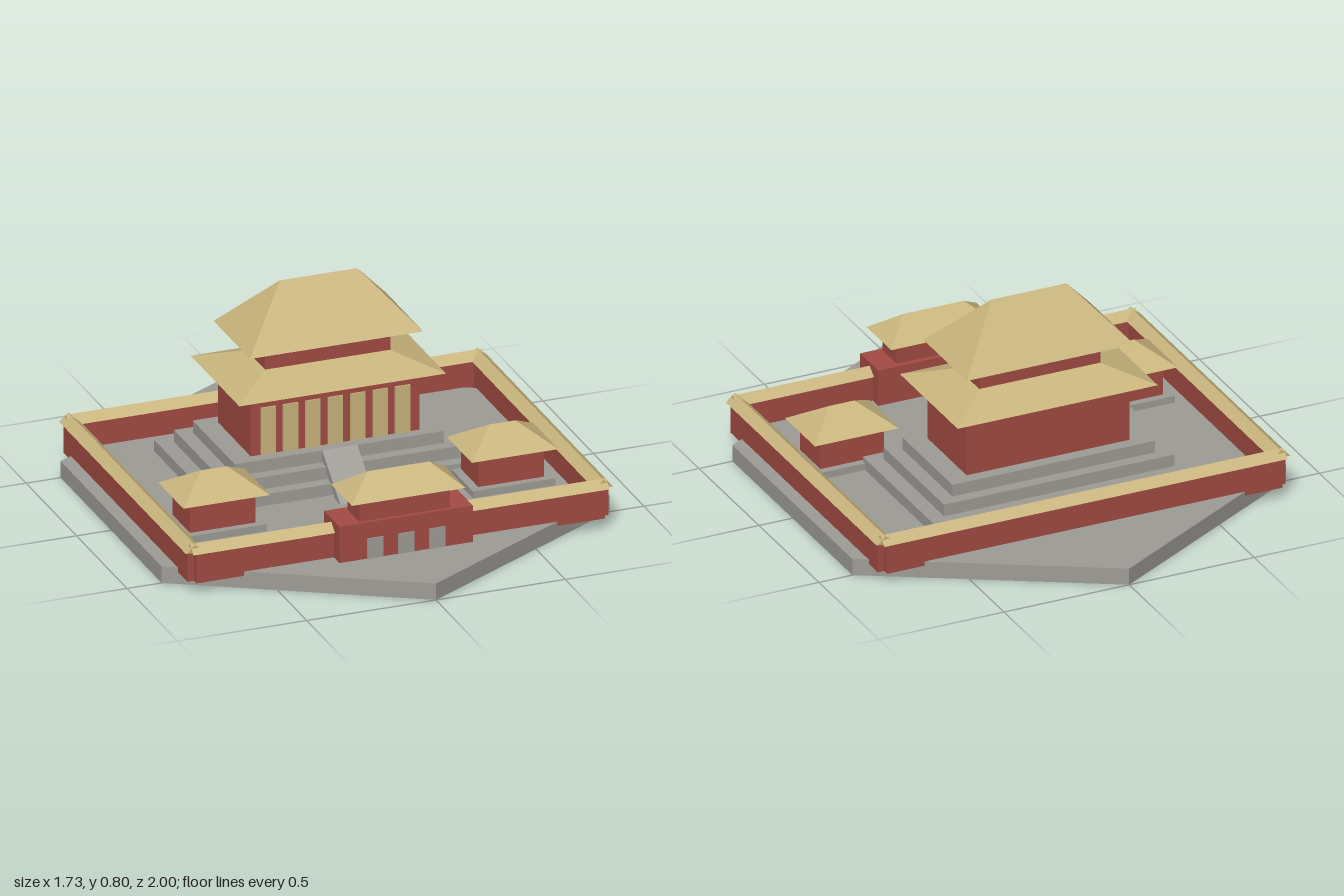
import * as THREE from 'three';

const mat = (name, color) => {
  const m = new THREE.MeshStandardMaterial({ color });
  m.name = name;
  return m;
};

export function createModel() {
  const red = mat('red plaster', 0xa34b43);
  const tan = mat('golden tile', 0xc8b47c);
  const grey = mat('grey stone', 0x9e9c96);
  const root = new THREE.Group();
  root.name = 'palaceCompound';

  const add = (parent, name, geometry, material) => {
    const mesh = new THREE.Mesh(geometry, material);
    mesh.name = name;
    parent.add(mesh);
    return mesh;
  };
  const group = (name) => {
    const g = new THREE.Group();
    g.name = name;
    root.add(g);
    return g;
  };

  // Box given by its extents along each axis
  const block = (parent, name, material, [x0, x1], [y0, y1], [z0, z1]) => {
    const g = new THREE.BoxGeometry(x1 - x0, y1 - y0, z1 - z0);
    g.translate((x0 + x1) / 2, (y0 + y1) / 2, (z0 + z1) / 2);
    return add(parent, name, g, material);
  };

  // Hipped roof: a box whose top rectangle shrinks to topW x topD
  const roof = (parent, name, [x, z], [y0, y1], [w, d], [topW, topD]) => {
    const h = y1 - y0;
    const g = new THREE.BoxGeometry(w, h, d);
    const p = g.attributes.position;
    for (let i = 0; i < p.count; i++) {
      if (p.getY(i) > 0) {
        p.setX(i, Math.sign(p.getX(i)) * topW / 2);
        p.setZ(i, Math.sign(p.getZ(i)) * topD / 2);
      }
    }
    g.computeVertexNormals();
    g.translate(x, y0 + h / 2, z);
    return add(parent, name, g, tan);
  };

  // Hexagonal ground slab, with points at front and back
  const slab = new THREE.CylinderGeometry(1, 1, 0.065, 6).toNonIndexed();
  slab.computeVertexNormals();
  slab.translate(0, 0.0325, 0);
  add(root, 'groundSlab', slab, grey);

  // Perimeter walls with ridged tile caps
  const walls = group('perimeterWalls');
  const wallY = [0.048, 0.168], capY = [0.165, 0.195];
  for (const [name, z] of [['front', 0.625], ['back', -0.605]]) {
    block(walls, name + 'Wall', red, [-0.79, 0.79], wallY, [z - 0.025, z + 0.025]);
    roof(walls, name + 'WallCap', [0, z], capY, [1.61, 0.072], [1.61, 0]);
  }
  for (const [name, s] of [['left', 1], ['right', -1]]) {
    const x = s * 0.79;
    block(walls, name + 'Wall', red, [x - 0.025, x + 0.025], wallY, [-0.605, 0.625]);
    roof(walls, name + 'WallCap', [x, 0.01], capY, [0.072, 1.26], [0, 1.26]);
  }

  // Gatehouse with three doors
  const gate = group('gatehouse');
  block(gate, 'gateBase', red, [-0.258, 0.258], [0.06, 0.208], [0.553, 0.705]);
  for (const x of [-0.12, 0, 0.12]) {
    block(gate, 'gateDoor', grey, [x - 0.031, x + 0.031], [0.06, 0.145], [0.702, 0.709]);
  }
  block(gate, 'gateUpperRoom', red, [-0.175, 0.175], [0.2, 0.3], [0.573, 0.69]);
  roof(gate, 'gateRoof', [0, 0.628], [0.295, 0.373], [0.44, 0.206], [0.24, 0]);

  // Mirrored side halls
  for (const [name, s] of [['leftHall', 1], ['rightHall', -1]]) {
    const hall = group(name), x = s * 0.558, z = 0.231;
    block(hall, 'hallPlatform', grey, [x - 0.16, x + 0.16], [0.06, 0.092], [z - 0.115, z + 0.115]);
    block(hall, 'hallBody', red, [x - 0.127, x + 0.127], [0.09, 0.215], [z - 0.086, z + 0.086]);
    roof(hall, 'hallRoof', [x, z], [0.21, 0.291], [0.335, 0.25], [0.1, 0]);
  }

  // Main hall on three stepped terraces
  const main = group('mainHall'), cz = -0.164;
  [[0.52, 0.3], [0.46, 0.253], [0.405, 0.208]].forEach(([hx, hz], i) => {
    block(main, 'terrace', grey, [-hx, hx], [0.06 + i * 0.045, 0.11 + i * 0.047], [cz - hz, cz + hz]);
  });

  // Sloping stair ramp up to the terraces
  const rise = 0.145, run = 0.185;
  const ramp = add(main, 'stairRamp', new THREE.BoxGeometry(0.136, 0.03, Math.hypot(rise, run)), grey);
  ramp.position.set(0, 0.122, 0.13);
  ramp.rotation.x = Math.atan2(rise, run);

  block(main, 'lowerStorey', red, [-0.326, 0.326], [0.19, 0.45], [-0.325, 0]);
  for (let i = -3; i <= 3; i++) {
    const x = i * 0.0867;
    block(main, 'doorPanel', tan, [x - 0.029, x + 0.029], [0.2, 0.39], [-0.002, 0.006]);
  }
  roof(main, 'lowerRoof', [0, cz], [0.445, 0.503], [0.8, 0.482], [0.482, 0.184]);
  block(main, 'upperStorey', red, [-0.242, 0.242], [0.49, 0.6], [cz - 0.092, cz + 0.092]);
  roof(main, 'upperRoof', [0, cz], [0.597, 0.802], [0.67, 0.362], [0.3, 0]);

  return root;
}
